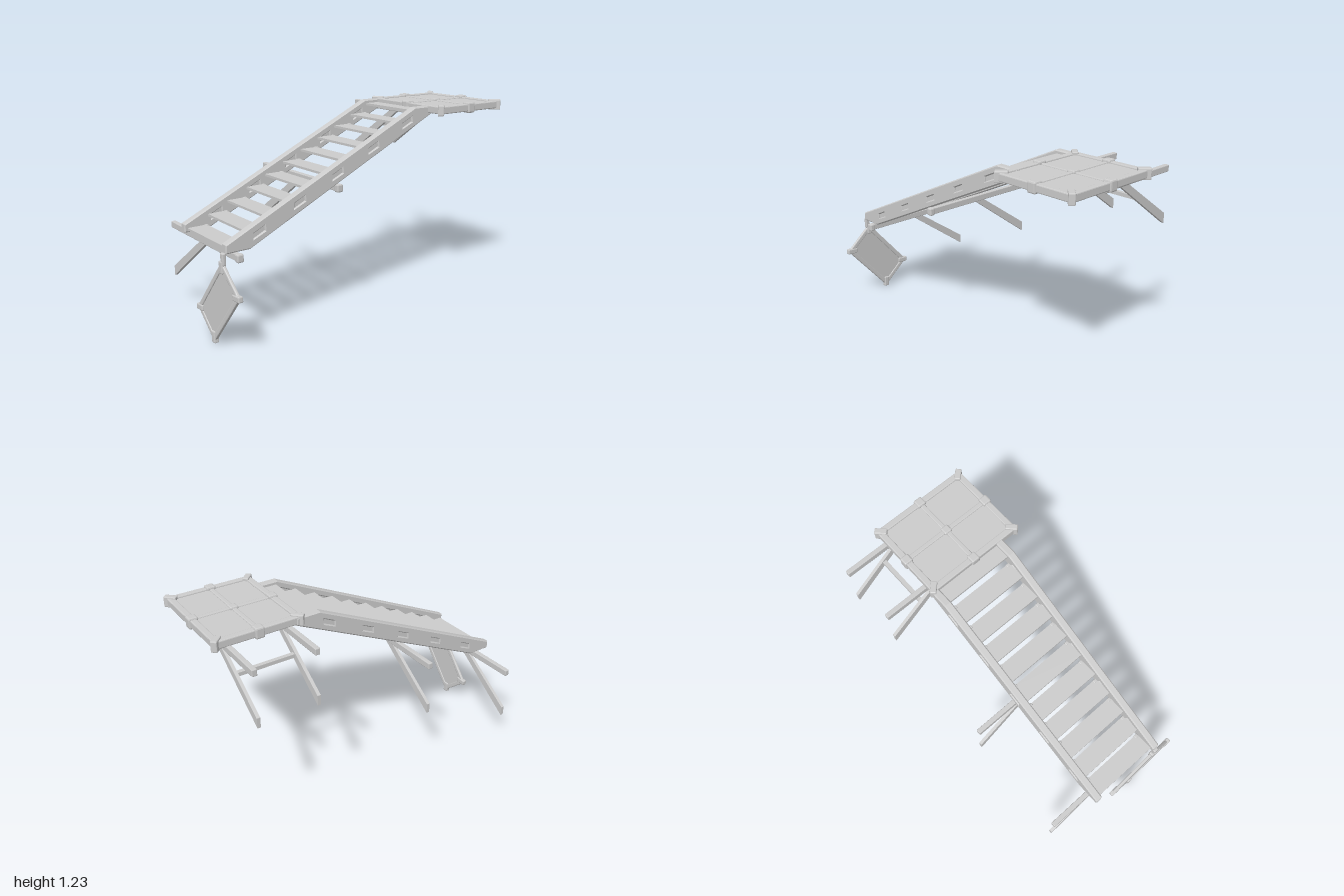
import * as THREE from 'three';
import { RoundedBoxGeometry } from 'three/addons/geometries/RoundedBoxGeometry.js';

const grey = new THREE.MeshStandardMaterial({ color: 0xcccccc, flatShading: true });

function add(parent, name, geometry, x = 0, y = 0, z = 0) {
  const mesh = new THREE.Mesh(geometry, grey);
  mesh.name = name;
  mesh.position.set(x, y, z);
  parent.add(mesh);
  return mesh;
}
const box = (w, h, d) => new THREE.BoxGeometry(w, h, d);
const chamferBox = (w, h, d, r = 0.006) => new RoundedBoxGeometry(w, h, d, 1, r);
const toPoints = (list) => list.map(([a, b]) => new THREE.Vector2(a, b));

// Sloped side beam with recessed slots
const SLOPE = 0.466;
function stringer(parent, name, z) {
  const group = new THREE.Group();
  group.name = name;
  group.position.z = z;
  parent.add(group);
  const shape = new THREE.Shape(toPoints([
    [-0.98, 0.56], [-0.83, 0.56], [0.5, 1.18], [0.5, 1.225], [0.35, 1.225], [-0.98, 0.61]]));
  const bevel = 0.007, depth = 0.046 - 2 * bevel;
  for (let i = 0; i < 5; i++) {
    const x = -0.77 + i * 0.265, y = 0.645 + i * 0.1235;
    const slot = [[-0.036, -0.031], [0.036, 0.002], [0.034, 0.031], [-0.034, -0.002]];
    shape.holes.push(new THREE.Path(toPoints(slot.map(([a, b]) => [x + a, y + b]))));
    const back = add(group, 'slotPanel', box(0.11, 0.05, 0.026), x, y);
    back.rotation.z = Math.atan(SLOPE);
  }
  const geometry = new THREE.ExtrudeGeometry(shape, {
    depth, bevelThickness: bevel, bevelSize: bevel, bevelOffset: -bevel, bevelSegments: 1 });
  add(group, 'stringer', geometry.translate(0, 0, -depth / 2));
}

// Horizontal wall beam with a diagonal brace cut flush with the wall
function wallSupport(parent, x, top, zFront) {
  const group = new THREE.Group();
  group.name = 'wallSupport';
  group.position.set(x, top, 0);
  parent.add(group);
  const back = -0.488;
  add(group, 'beam', chamferBox(0.03, 0.04, zFront - back, 0.004), 0, -0.02, (zFront + back) / 2);
  add(group, 'beamCap', chamferBox(0.04, 0.048, 0.035, 0.008), 0, -0.021, zFront - 0.016);
  const profile = [[-0.05, -0.036], [-0.12, -0.036], [back, -0.29], [back, -0.352]];
  const geometry = new THREE.ExtrudeGeometry(
    new THREE.Shape(toPoints(profile.map(([z, y]) => [-z, y]))), { depth: 0.02, bevelEnabled: false });
  add(group, 'brace', geometry.rotateY(Math.PI / 2), -0.01);
}

// Rectangular frame in the xz plane with diagonal corner brackets
function frame(parent, w, d, h, rail, bracket, bracketHeight) {
  for (const s of [-1, 1]) {
    add(parent, 'rail', chamferBox(w, h, rail), 0, 0, s * (d - rail) / 2);
    add(parent, 'rail', chamferBox(rail, h, d), s * (w - rail) / 2, 0, 0);
    for (const t of [-1, 1]) {
      const b = add(parent, 'cornerBracket', chamferBox(bracket, bracketHeight, bracket * 0.5),
        s * (w / 2 - bracket * 0.3), 0, t * (d / 2 - bracket * 0.3));
      b.rotation.y = -s * t * Math.PI / 4;
    }
  }
}

export function createModel() {
  const model = new THREE.Group();
  model.name = 'wallStaircase';

  stringer(model, 'frontStringer', 0.292);
  stringer(model, 'backStringer', -0.188);

  // Treads with fixing caps at both ends
  for (let i = 0; i < 11; i++) {
    const tread = new THREE.Group();
    tread.name = 'tread';
    tread.position.set(-0.9 + i * 0.132, 0.58 + i * 0.0617, 0.052);
    model.add(tread);
    add(tread, 'board', box(0.12, 0.014, 0.44));
    for (const s of [-1, 1]) {
      add(tread, 'treadCap', chamferBox(0.022, 0.022, 0.026, 0.005), 0.053, 0, s * 0.205);
    }
  }

  // Landing: frame, cross rails, panel and clamps
  const landing = new THREE.Group();
  landing.name = 'landing';
  landing.position.set(0.722, 1.207, 0.11);
  model.add(landing);
  const W = 0.53, D = 0.635;
  frame(landing, W, D, 0.046, 0.04, 0.075, 0.066);
  add(landing, 'panel', box(W - 0.03, 0.022, D - 0.03), 0, 0.003);
  add(landing, 'crossRail', chamferBox(W - 0.03, 0.042, 0.03), 0, 0, 0);
  add(landing, 'crossRail', chamferBox(0.03, 0.042, D - 0.03), 0, 0, 0);
  add(landing, 'centreClamp', chamferBox(0.052, 0.06, 0.052, 0.009));
  for (const s of [-1, 1]) {
    add(landing, 'sideClamp', chamferBox(0.056, 0.066, 0.056, 0.009), s * (W / 2 - 0.02), 0, 0);
    add(landing, 'sideClamp', chamferBox(0.056, 0.066, 0.056, 0.009), 0, 0, s * (D / 2 - 0.02));
  }

  // Supports: two under the flight, two under the landing joined by a tie bar
  wallSupport(model, -0.9, 0.546, 0.33);
  wallSupport(model, -0.235, 0.83, 0.33);
  wallSupport(model, 0.54, 1.187, 0.08);
  wallSupport(model, 0.905, 1.187, 0.08);
  add(model, 'tieBar', box(0.365, 0.022, 0.026), 0.7225, 1.036, -0.25);

  // Framed board hanging askew from the lower end
  const hanging = new THREE.Group();
  hanging.name = 'hangingBoard';
  hanging.position.set(-0.985, 0.262, 0.222);
  hanging.rotation.x = 0.71;
  model.add(hanging);
  const flat = new THREE.Group();
  flat.name = 'boardFrame';
  flat.rotation.z = Math.PI / 2;
  hanging.add(flat);
  frame(flat, 0.455, 0.24, 0.02, 0.03, 0.07, 0.03);
  add(flat, 'boardPanel', box(0.43, 0.01, 0.215));
  add(model, 'boardHook', chamferBox(0.022, 0.07, 0.032), -0.985, 0.53, 0.292);

  return model;
}
